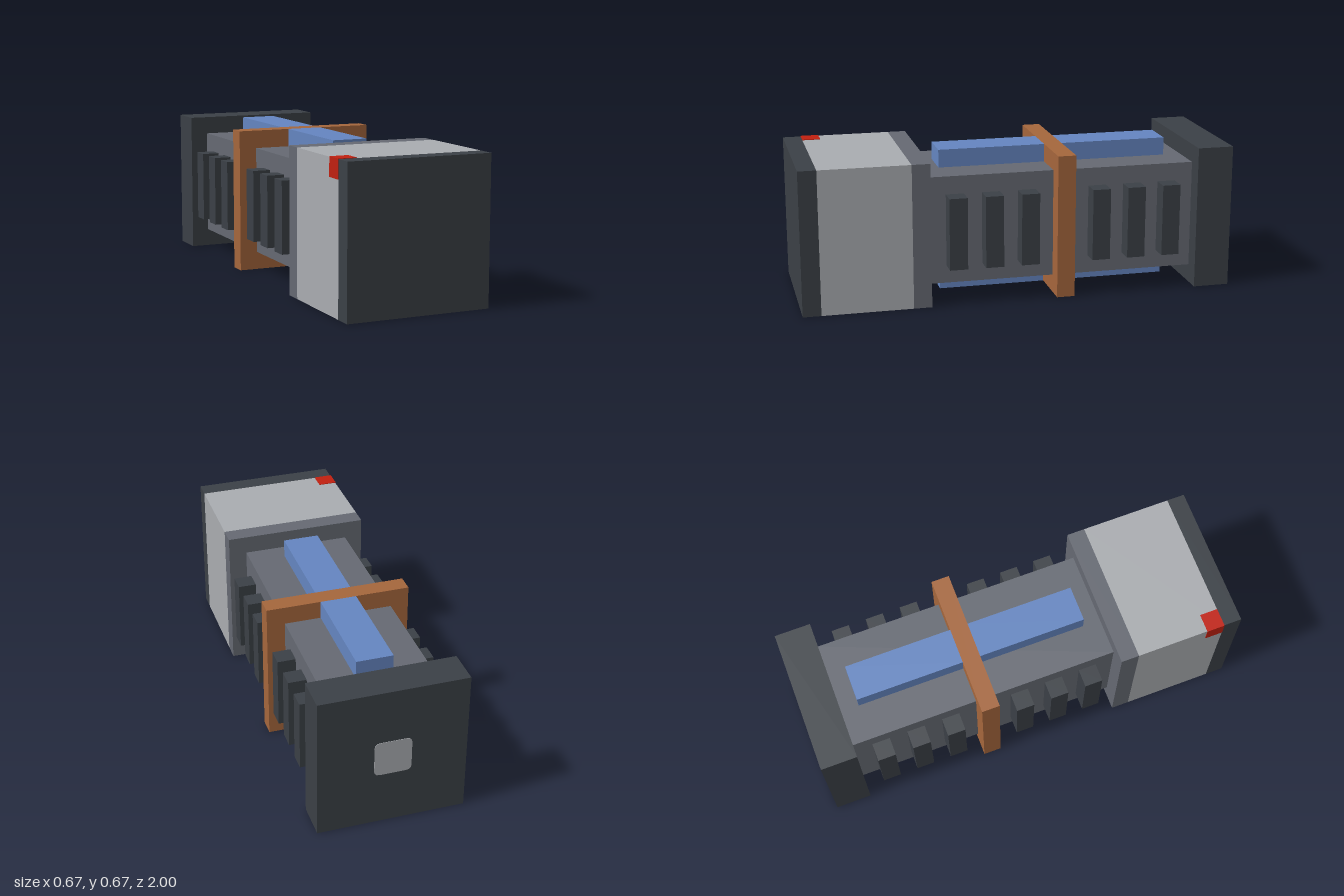
import * as THREE from 'three';

// One modelling unit: the body is 8 x 8 x 24 units
const U = 1 / 12;

function material(name, color) {
  const m = new THREE.MeshStandardMaterial({ color });
  m.name = name;
  return m;
}

export function createModel() {
  const dark = material('dark steel', 0x3b4046);
  const grey = material('mid grey', 0x656972);
  const light = material('light grey', 0xa9acb0);
  const blue = material('blue', 0x6485c0);
  const copper = material('copper', 0xa5663c);
  const red = material('red', 0xc02010);

  const model = new THREE.Group();
  model.name = 'device';

  // Box from minimum and maximum corners, in units
  function box(name, mat, [x0, y0, z0], [x1, y1, z1]) {
    const geo = new THREE.BoxGeometry((x1 - x0) * U, (y1 - y0) * U, (z1 - z0) * U);
    const mesh = new THREE.Mesh(geo, mat);
    mesh.name = name;
    mesh.position.set((x0 + x1) / 2 * U, (y0 + y1) / 2 * U, (z0 + z1) / 2 * U);
    model.add(mesh);
    return mesh;
  }

  // Square outline centred on the origin, with corner cut c
  function square(Type, h, c = 0) {
    const s = new Type();
    s.moveTo(-h + c, -h);
    s.lineTo(h - c, -h);
    if (c) s.quadraticCurveTo(h, -h, h, -h + c);
    s.lineTo(h, h - c);
    if (c) s.quadraticCurveTo(h, h, h - c, h);
    s.lineTo(-h + c, h);
    if (c) s.quadraticCurveTo(-h, h, -h, h - c);
    s.lineTo(-h, -h + c);
    if (c) s.quadraticCurveTo(-h, -h, -h + c, -h);
    return s;
  }

  // Head block, front to back
  box('frontCap', dark, [-4, 0, 11], [4, 8, 12]);
  box('head', light, [-4, 0, 6], [4, 8, 11]);
  box('collar', grey, [-4, 0, 5], [4, 8, 6]);

  // Core and rear flange
  box('core', grey, [-3, 1, -10], [3, 7, 5]);
  box('rearFlange', dark, [-4, 0, -12], [4, 8, -10]);

  // Square band around the core
  const frame = square(THREE.Shape, 4 * U);
  frame.holes.push(square(THREE.Path, 3 * U));
  const band = new THREE.Mesh(
    new THREE.ExtrudeGeometry(frame, { depth: U, bevelEnabled: false }), copper);
  band.name = 'band';
  band.position.set(0, 4 * U, -3 * U);
  model.add(band);

  // Strips above and below, interrupted by the band
  for (const [z0, z1] of [[-9, -3], [-2, 4]]) {
    box('topStrip', blue, [-1, 7, z0], [1, 8, z1]);
    box('bottomStrip', blue, [-1, 0, z0], [1, 1, z1]);
  }

  // Cooling fins on both sides
  for (const z of [-9, -7, -5, -1, 1, 3]) {
    box('leftFin', dark, [3, 2, z], [4, 6, z + 1]);
    box('rightFin', dark, [-4, 2, z], [-3, 6, z + 1]);
  }

  // Indicator lamp on the upper right edge of the head, as two thin plates
  const t = 0.03;
  box('lampTop', red, [-4 - t, 8 - t, 10], [-3, 8 + t, 11]);
  box('lampSide', red, [-4 - t, 7, 10], [-4 + t, 8 - t, 11]);

  // Socket on the rear flange
  const socket = new THREE.Mesh(
    new THREE.ExtrudeGeometry(square(THREE.Shape, U, 0.3 * U),
      { depth: 0.004, bevelEnabled: false, curveSegments: 3 }), light);
  socket.name = 'rearSocket';
  socket.position.set(0, 4 * U, -12 * U - 0.002);
  model.add(socket);

  return model;
}
